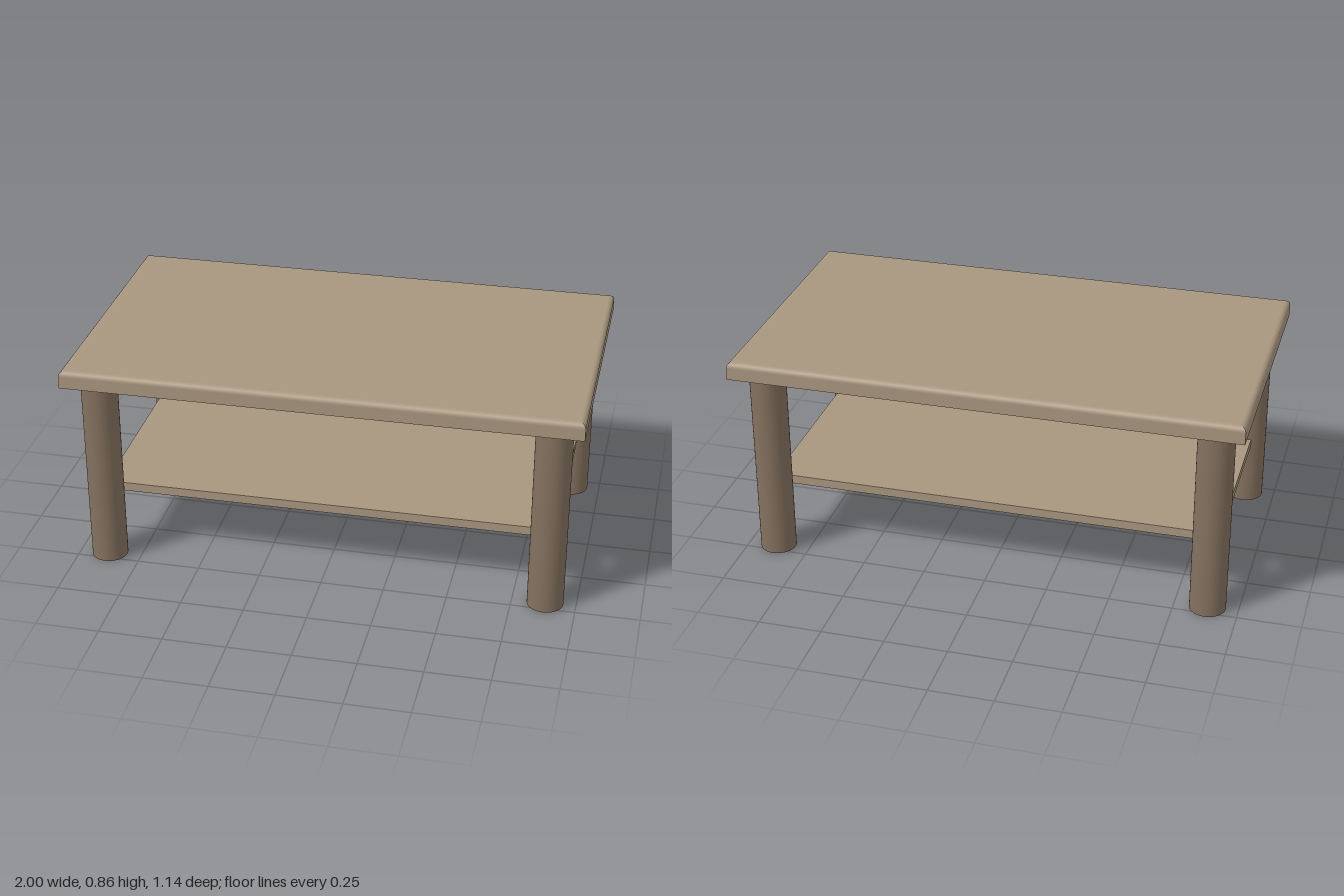
import * as THREE from 'three';
import { mergeGeometries } from 'three/addons/utils/BufferGeometryUtils.js';

const HALF_X = 1, HALF_Z = 0.57, BOTTOM = 0.79, TOP = 0.86, ROUND = 0.022;

// One side of the slab: a vertical face rolling into the top, mitred at the ends.
function slabSide(k) {
  const a = k * Math.PI / 2;
  const out = new THREE.Vector3(Math.round(Math.sin(a)), 0, Math.round(Math.cos(a)));
  const along = new THREE.Vector3(out.z, 0, -out.x);
  const depth = k % 2 ? HALF_X : HALF_Z, half = k % 2 ? HALF_Z : HALF_X;
  const steps = 8, pos = [], nor = [], uv = [], index = [];
  for (let i = -1; i <= steps; i++) {
    const t = Math.max(i, 0) / steps * Math.PI / 2;
    const inset = ROUND * (1 - Math.cos(t));
    const y = i < 0 ? BOTTOM : TOP - ROUND + ROUND * Math.sin(t);
    for (const s of [-1, 1]) {
      const p = out.clone().multiplyScalar(depth - inset).addScaledVector(along, s * (half - inset));
      pos.push(p.x, y, p.z);
      nor.push(out.x * Math.cos(t), Math.sin(t), out.z * Math.cos(t));
      uv.push((s + 1) / 2, (i + 1) / (steps + 1));
    }
    const b = (i + 1) * 2;
    if (i < steps) index.push(b, b + 1, b + 2, b + 1, b + 3, b + 2);
  }
  const g = new THREE.BufferGeometry();
  g.setAttribute('position', new THREE.Float32BufferAttribute(pos, 3));
  g.setAttribute('normal', new THREE.Float32BufferAttribute(nor, 3));
  g.setAttribute('uv', new THREE.Float32BufferAttribute(uv, 2));
  g.setIndex(index);
  return g;
}

export function createModel() {
  const group = new THREE.Group();
  group.name = 'coffeeTable';
  const lightWood = new THREE.MeshStandardMaterial({ color: 0xa8977f });
  lightWood.name = 'lightWood';
  const darkWood = new THREE.MeshStandardMaterial({ color: 0x84715f });
  darkWood.name = 'darkWood';

  const add = (name, geometry, material, x = 0, y = 0, z = 0) => {
    const mesh = new THREE.Mesh(geometry, material);
    mesh.name = name;
    mesh.position.set(x, y, z);
    group.add(mesh);
  };

  // Table top with rounded upper edges and a sharp lower edge
  const upper = new THREE.PlaneGeometry(2 * (HALF_X - ROUND), 2 * (HALF_Z - ROUND))
    .rotateX(-Math.PI / 2).translate(0, TOP, 0);
  const under = new THREE.PlaneGeometry(2 * HALF_X, 2 * HALF_Z)
    .rotateX(Math.PI / 2).translate(0, BOTTOM, 0);
  add('tableTop', mergeGeometries([...[0, 1, 2, 3].map(slabSide), upper, under]), lightWood);

  // Lower shelf, its corners set into the legs
  add('shelf', new THREE.BoxGeometry(1.8, 0.036, 0.774), lightWood, 0, 0.273, 0);

  // Four round legs
  const leg = new THREE.CylinderGeometry(0.071, 0.071, BOTTOM, 48);
  for (const [side, x] of [['Left', 0.88], ['Right', -0.88]]) {
    for (const [end, z] of [['front', 0.454], ['back', -0.454]]) {
      add(`${end}${side}Leg`, leg, darkWood, x, BOTTOM / 2, z);
    }
  }
  return group;
}
